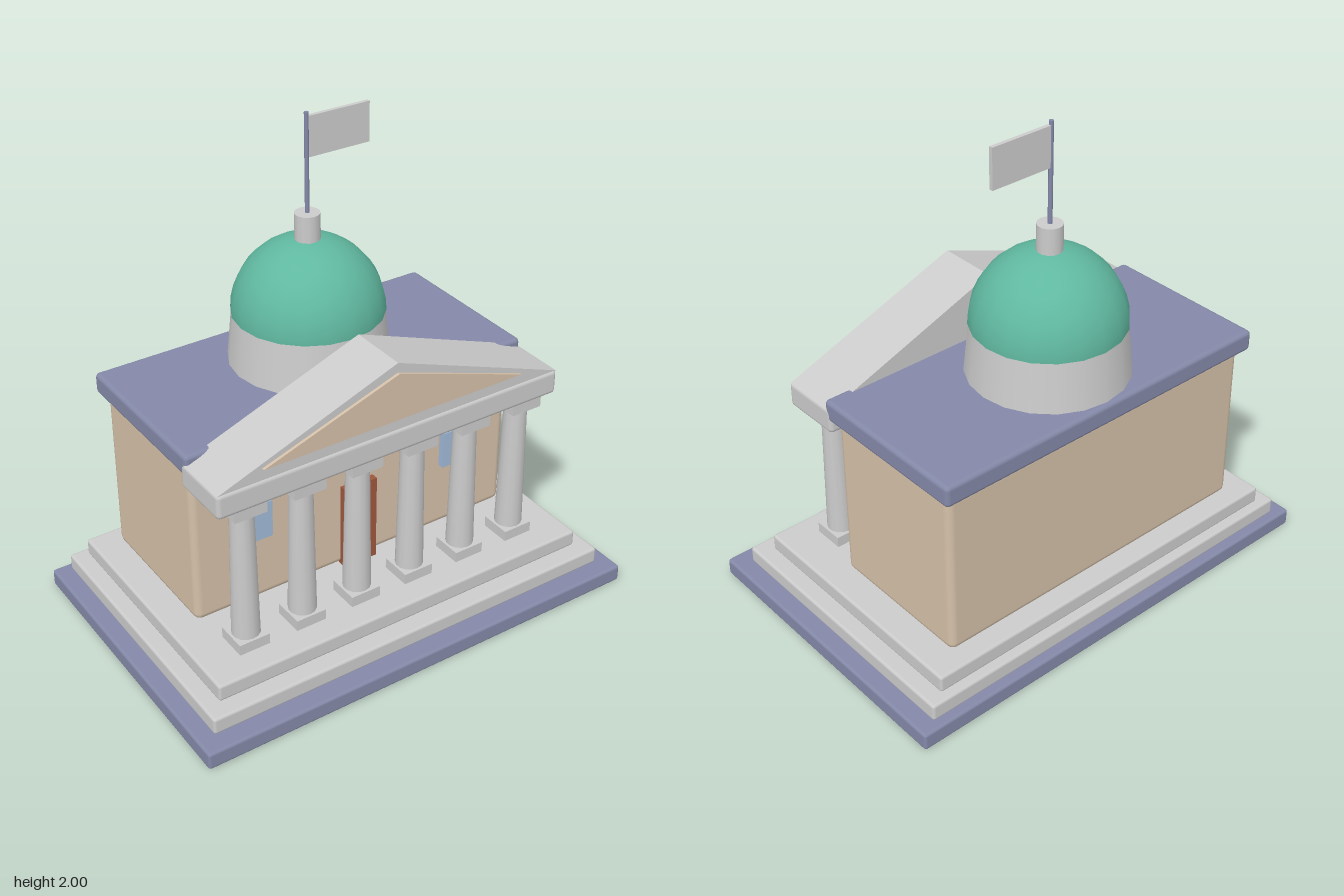
import * as THREE from 'three';
import { RoundedBoxGeometry } from 'three/addons/geometries/RoundedBoxGeometry.js';

const mat = (color) => new THREE.MeshStandardMaterial({ color });

export function createModel() {
  const group = new THREE.Group();
  const stone = mat(0xcccccc), wall = mat(0xd4c0a8), slate = mat(0x8489a8);
  const wood = mat(0x9e573d), glass = mat(0xa1bad8), copper = mat(0x60b8a0);

  const add = (name, geometry, material, x = 0, y = 0, z = 0, parent = group) => {
    const mesh = new THREE.Mesh(geometry, material);
    mesh.name = name;
    mesh.position.set(x, y, z);
    parent.add(mesh);
    return mesh;
  };
  // Box given by its limits; a radius rounds the edges
  const box = (name, material, [x0, x1], [y0, y1], [z0, z1], radius = 0, parent = group) => {
    const size = [x1 - x0, y1 - y0, z1 - z0];
    const geometry = radius ? new RoundedBoxGeometry(...size, 2, radius) : new THREE.BoxGeometry(...size);
    return add(name, geometry, material, (x0 + x1) / 2, (y0 + y1) / 2, (z0 + z1) / 2, parent);
  };
  // Triangular prism along z
  const gable = (name, material, halfWidth, y0, y1, z0, z1) => {
    const shape = new THREE.Shape([
      new THREE.Vector2(-halfWidth, y0), new THREE.Vector2(halfWidth, y0), new THREE.Vector2(0, y1),
    ]);
    add(name, new THREE.ExtrudeGeometry(shape, { depth: z1 - z0, bevelEnabled: false }), material, 0, 0, z0);
  };

  // Stepped platform
  box('basePlinth', slate, [-0.975, 0.975], [0, 0.073], [-0.64, 0.64], 0.012);
  box('lowerStep', stone, [-0.907, 0.907], [0.073, 0.145], [-0.605, 0.565], 0.012);
  box('upperStep', stone, [-0.842, 0.842], [0.145, 0.217], [-0.57, 0.495], 0.012);

  // Main block and roof slab
  box('walls', wall, [-0.73, 0.73], [0.217, 0.912], [-0.495, 0.14], 0.03);
  box('roof', slate, [-0.76, 0.76], [0.912, 1.0], [-0.53, 0.175], 0.018);

  // Door and windows on the front wall
  box('door', wood, [-0.075, 0.075], [0.217, 0.59], [0.13, 0.17]);
  for (const side of [-1, 1]) {
    for (const y of [0.59, 0.858]) {
      add('window', new THREE.BoxGeometry(0.16, 0.16, 0.04), glass, side * 0.48, y, 0.145);
    }
  }

  // Colonnade
  for (let i = 0; i < 6; i++) {
    const column = new THREE.Group();
    column.name = 'column';
    column.position.set(-0.625 + i * 0.25, 0, 0.325);
    group.add(column);
    box('columnBase', stone, [-0.065, 0.065], [0.215, 0.262], [-0.065, 0.065], 0, column);
    add('columnShaft', new THREE.CylinderGeometry(0.046, 0.056, 0.56, 14), stone, 0, 0.542, 0, column);
    box('columnCapital', stone, [-0.068, 0.068], [0.82, 0.865], [-0.068, 0.068], 0, column);
  }

  // Entablature and pediment
  box('entablature', stone, [-0.762, 0.762], [0.86, 0.965], [0.14, 0.4], 0.018);
  gable('pediment', stone, 0.76, 0.96, 1.245, 0.145, 0.393);
  gable('pedimentPanel', wall, 0.575, 1.01, 1.205, 0.38, 0.405);

  // Drum, dome and lantern
  const z = -0.195;
  add('drum', new THREE.CylinderGeometry(0.295, 0.317, 0.222, 20), stone, 0, 1.111, z);
  add('dome', new THREE.SphereGeometry(0.3, 20, 10, 0, Math.PI * 2, 0, Math.PI / 2), copper, 0, 1.203, z);
  add('lantern', new THREE.CylinderGeometry(0.05, 0.05, 0.115, 14), stone, 0, 1.547, z);

  // Flagpole and flag
  add('flagpole', new THREE.CylinderGeometry(0.009, 0.009, 0.4, 10), slate, 0, 1.8, z);
  box('flag', stone, [0.008, 0.272], [1.825, 1.985], [z - 0.008, z + 0.008]);

  return group;
}
